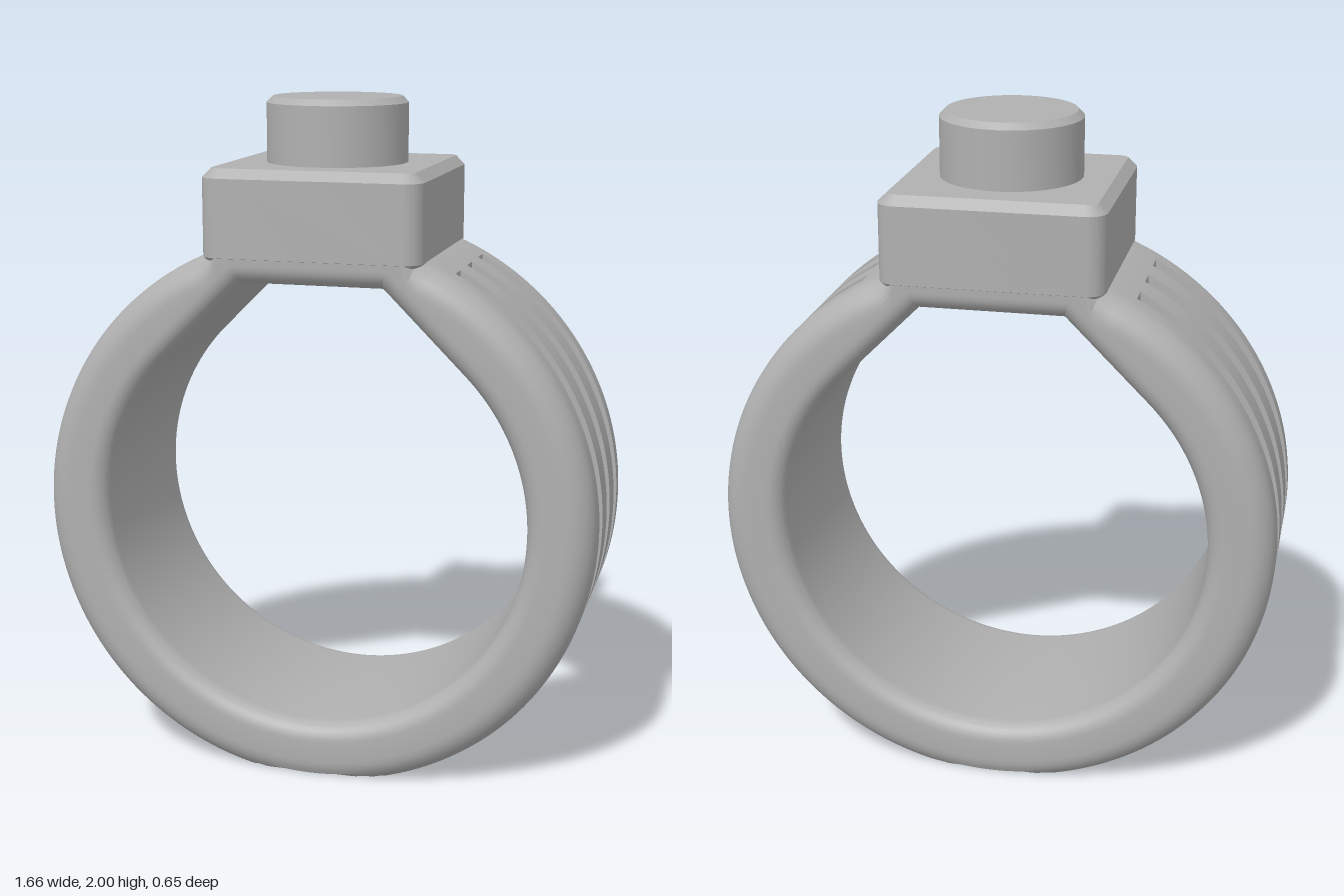
import * as THREE from 'three';
import { toCreasedNormals } from 'three/addons/utils/BufferGeometryUtils.js';

const R = 0.83, CY = 0.795;          // outer radius and height of the band centre
const HOLE = 0.635, HOLE_TOP = 0.688; // finger hole radius and its flat top above centre
const H = 0.325;                     // half width of the band
const F = 0.08, G = 0.055;           // outer and inner edge rounding
const GROOVE = 0.03, GROOVE_X = 0.4; // groove depth and where grooves end
const DEG = Math.PI / 180;

// Distance from centre to the hole wall, grown by d: a circle with a peaked, flat-topped roof
function holeRadius(t, d) {
  const u = Math.atan2(Math.sin(t), Math.abs(Math.cos(t)));
  if (u < Math.PI / 4) return HOLE + d;
  return Math.min((HOLE + d) / Math.cos(u - Math.PI / 4), (HOLE_TOP + d) / Math.sin(u));
}

// Cross-section: outer face with three grooves, then the inner face, as a closed loop
function sectionPoints() {
  const pts = [], n = 8;
  const outer = (s, i) => {
    const a = (i / n) * Math.PI / 2;
    pts.push({ z: s * (H - F + F * Math.sin(a)), drop: F * (1 - Math.cos(a)) });
  };
  for (let i = n; i >= 0; i--) outer(-1, i);
  for (const c of [-0.165, 0, 0.165]) {
    pts.push({ z: c - 0.035, drop: 0 }, { z: c - 0.035, drop: 0, groove: true });
    pts.push({ z: c + 0.035, drop: 0, groove: true }, { z: c + 0.035, drop: 0 });
  }
  for (let i = 0; i <= n; i++) outer(1, i);
  for (const s of [1, -1]) {
    for (let k = 0; k <= n; k++) {
      const a = ((s > 0 ? n - k : k) / n) * Math.PI / 2;
      pts.push({ z: s * (H - G + G * Math.sin(a)), inner: true, drop: G * (1 - Math.cos(a)) });
    }
  }
  return pts;
}

function bandGeometry() {
  // Even angles plus exact stops at groove ends, roof corners and the flat foot
  const angles = [];
  for (let a = 0; a < 360; a += 2) angles.push(a);
  for (let a = 241; a < 300; a += 2) angles.push(a);
  const extra = [
    Math.acos(GROOVE_X / R), Math.acos(GROOVE_X / (R - GROOVE)),
    Math.atan2(HOLE_TOP, HOLE * Math.SQRT2 - HOLE_TOP), Math.PI / 4,
  ].map((a) => a / DEG);
  for (const a of extra) angles.push(a, 180 - a, 180 + a, 360 - a);
  const foot = Math.acos(CY / R) / DEG;
  angles.push(270 - foot, 270 + foot);
  angles.sort((a, b) => a - b);
  const stops = angles.filter((a, i) => i === 0 || a - angles[i - 1] > 1e-4);

  const section = sectionPoints(), m = section.length;
  const pos = [], index = [];
  stops.forEach((deg, i) => {
    const t = deg * DEG, c = Math.cos(t), s = Math.sin(t), ax = Math.abs(c);
    const cut = ax * (R - GROOVE) >= GROOVE_X - 1e-6 ? GROOVE : 0;
    // The outer rounding fades out underneath the block
    const fade = s > 0 ? THREE.MathUtils.smoothstep(ax * R, 0.26, 0.33) : 1;
    section.forEach((p, j) => {
      let r;
      if (p.inner) r = holeRadius(t, p.drop);
      else r = R - p.drop * fade - (p.groove ? cut : 0);
      pos.push(r * c, Math.max(0, CY + r * s), p.z * 0.998);
      const i2 = (i + 1) % stops.length, j2 = (j + 1) % m;
      const a = i * m + j, b = i2 * m + j, d = i * m + j2, e = i2 * m + j2;
      index.push(a, b, e, a, e, d);
    });
  });
  const g = new THREE.BufferGeometry();
  g.setAttribute('position', new THREE.Float32BufferAttribute(pos, 3));
  g.setIndex(index);
  return toCreasedNormals(g, 14 * DEG);
}

// Square block with rounded corners and chamfered top and bottom
function blockGeometry() {
  const bevel = 0.027, h = H - bevel, r = 0.03;
  const s = new THREE.Shape();
  s.moveTo(h - r, -h);
  s.absarc(h - r, -h + r, r, -Math.PI / 2, 0);
  s.absarc(h - r, h - r, r, 0, Math.PI / 2);
  s.absarc(-h + r, h - r, r, Math.PI / 2, Math.PI);
  s.absarc(-h + r, -h + r, r, Math.PI, Math.PI * 1.5);
  const g = new THREE.ExtrudeGeometry(s, {
    depth: 0.28 - 2 * bevel, bevelEnabled: true, bevelSegments: 1,
    bevelSize: bevel, bevelThickness: bevel, curveSegments: 8,
  });
  g.rotateX(-Math.PI / 2);
  g.translate(0, 1.53 + bevel, 0);
  return toCreasedNormals(g, 30 * DEG);
}

// Round button with a chamfered rim
function buttonGeometry() {
  const profile = [[0.208, 1.78], [0.208, 1.982], [0.19, 2], [0, 2]]
    .map(([x, y]) => new THREE.Vector2(x, y));
  return toCreasedNormals(new THREE.LatheGeometry(profile, 72), 30 * DEG);
}

export function createModel() {
  const group = new THREE.Group();
  group.name = 'ring';
  const grey = new THREE.MeshStandardMaterial({ color: 0xb0b0b0 });
  grey.name = 'grey';
  const add = (name, geometry) => {
    const mesh = new THREE.Mesh(geometry, grey);
    mesh.name = name;
    group.add(mesh);
  };
  add('band', bandGeometry());
  add('block', blockGeometry());
  add('button', buttonGeometry());
  return group;
}
